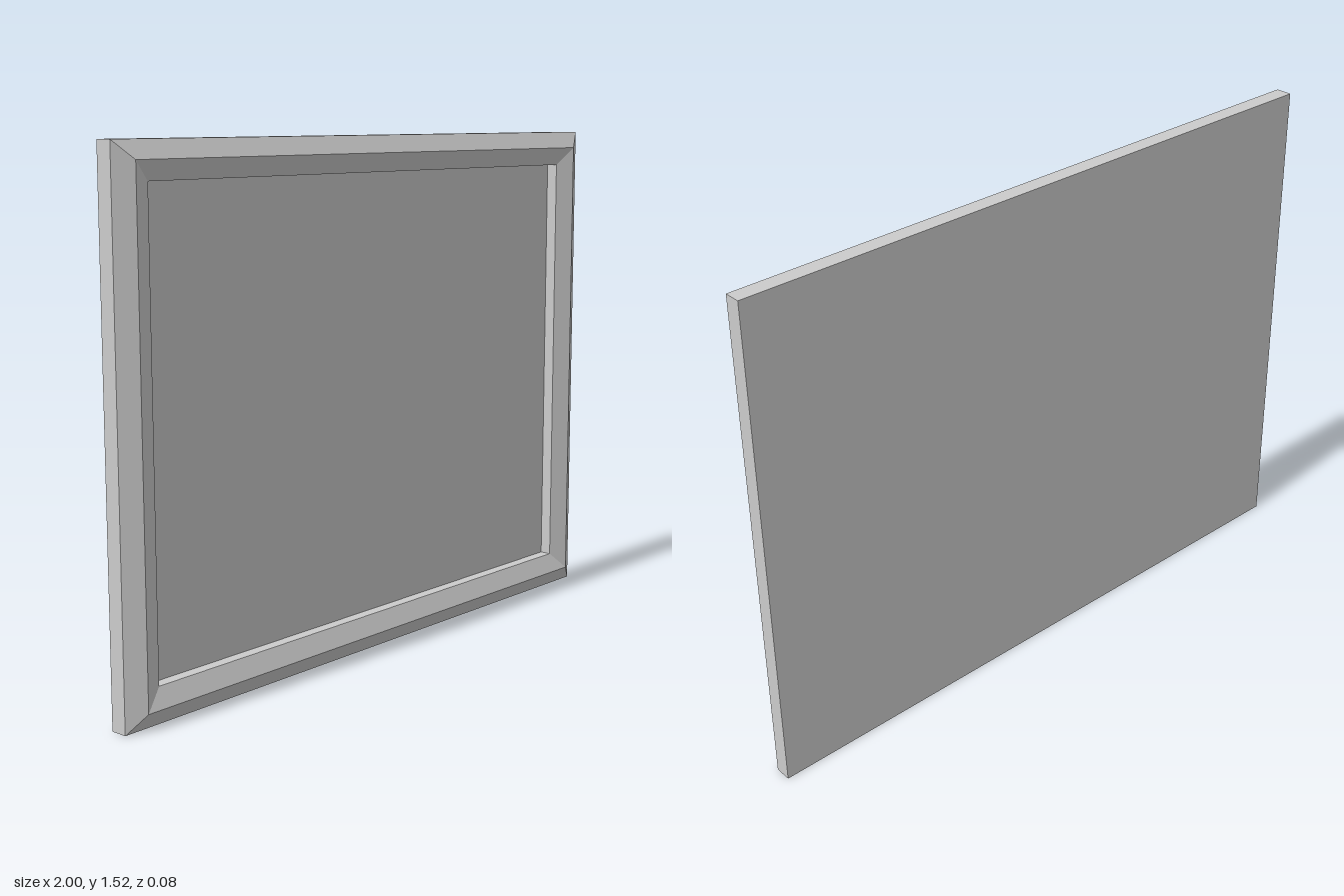
import * as THREE from 'three';

const WIDTH = 2, HEIGHT = 1.52;

// Corners of a rectangle inset from the outer edge, counter-clockwise from the front
function ring(insetX, insetY, z) {
  const x = WIDTH / 2 - insetX, y0 = insetY, y1 = HEIGHT - insetY;
  return [[-x, y0, z], [x, y0, z], [x, y1, z], [-x, y1, z]];
}

// Sweeps the moulding profile round the rectangle with mitred corners
function mouldingGeometry(profile) {
  const rings = profile.map((p) => ring(...p));
  const positions = [];
  for (let r = 0; r < rings.length - 1; r++) {
    for (let i = 0; i < 4; i++) {
      const j = (i + 1) % 4;
      const [a, b, c, d] = [rings[r][i], rings[r][j], rings[r + 1][j], rings[r + 1][i]];
      positions.push(...a, ...b, ...c, ...a, ...c, ...d);
    }
  }
  const geometry = new THREE.BufferGeometry();
  geometry.setAttribute('position', new THREE.Float32BufferAttribute(positions, 3));
  geometry.computeVertexNormals();
  return geometry;
}

export function createModel() {
  const group = new THREE.Group();
  group.name = 'pictureFrame';
  const material = new THREE.MeshStandardMaterial({ color: 0xcccccc, flatShading: true });

  const add = (name, geometry) => {
    const mesh = new THREE.Mesh(geometry, material);
    mesh.name = name;
    group.add(mesh);
    return mesh;
  };

  // Moulding: outer side, outer bevel, inner slope, rebate wall (inset x, inset y, z)
  const backZ = -0.04, panelZ = -0.02;
  add('frameMoulding', mouldingGeometry([
    [0, 0, backZ],
    [0, 0, 0.01],
    [0.055, 0.05, 0.04],
    [0.115, 0.105, 0.015],
    [0.115, 0.105, panelZ],
  ]));

  // Recessed picture panel
  add('picturePanel', new THREE.PlaneGeometry(WIDTH - 0.23, HEIGHT - 0.21))
    .position.set(0, HEIGHT / 2, panelZ);

  // Flat back
  const back = add('backBoard', new THREE.PlaneGeometry(WIDTH, HEIGHT));
  back.position.set(0, HEIGHT / 2, backZ);
  back.rotation.y = Math.PI;

  return group;
}
